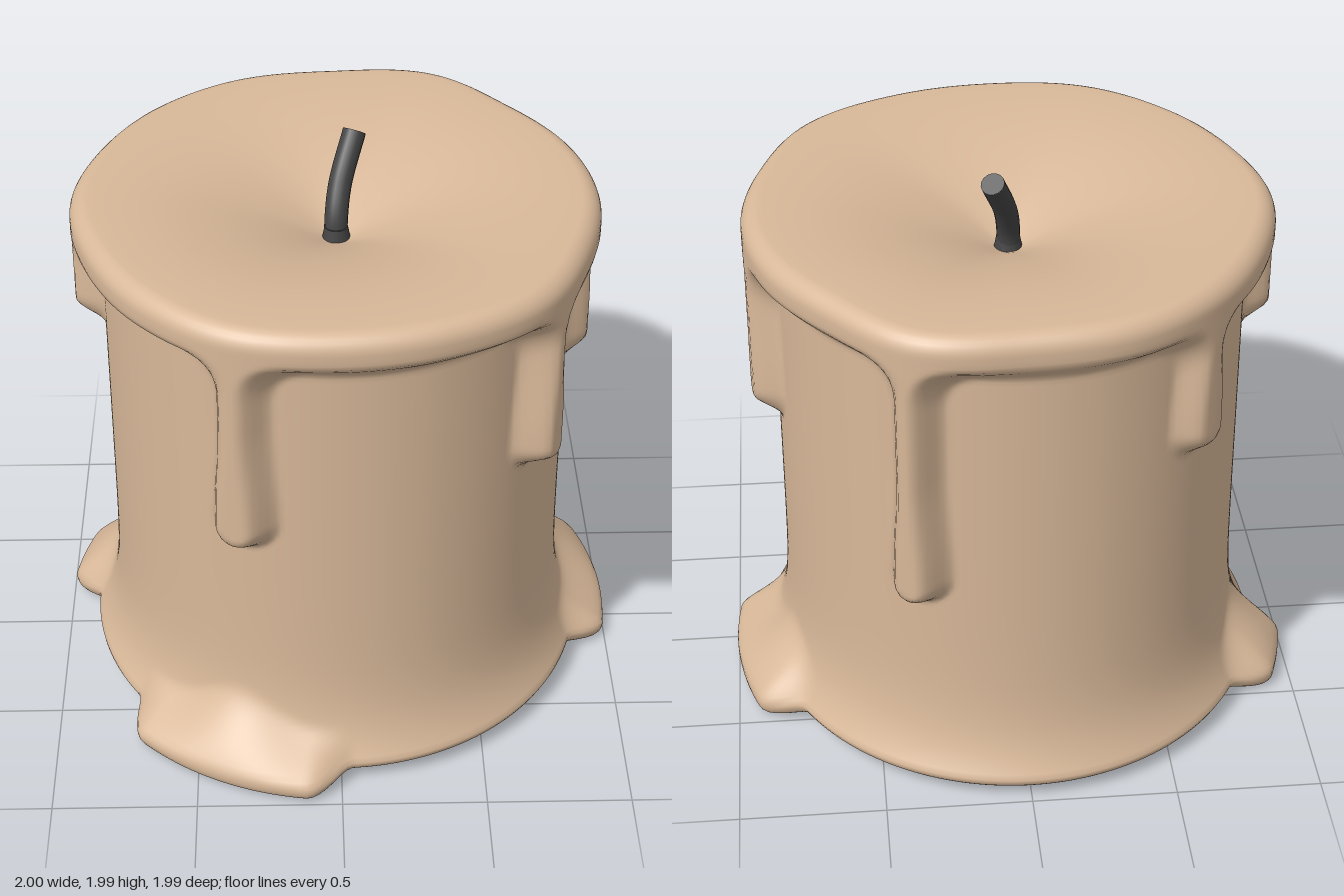
import * as THREE from 'three';

const CZ = -0.05;             // candle axis sits slightly behind the origin
const SEG = 320, TEETH = 32;
const rad = THREE.MathUtils.degToRad;
const step = THREE.MathUtils.smoothstep;
const lerp = THREE.MathUtils.lerp;

// signed angle between two directions, 0 = front (+z), 90 = +x
const turn = (a, b) => Math.atan2(Math.sin(a - b), Math.cos(a - b));

// wavy rim radius every 22.5 degrees
const RIM = [0.93, 0.93, 0.94, 0.90, 0.895, 0.895, 0.90, 0.96, 0.915, 0.92, 0.905, 0.89, 0.90, 0.895, 0.92, 0.95];
function rimRadius(a) {
  const n = RIM.length, f = ((a / (2 * Math.PI)) * n + n) % n, i = Math.floor(f), t = f - i;
  const [p, q, r, s] = [-1, 0, 1, 2].map(k => RIM[(i + k + n) % n]);
  return q + 0.5 * t * (r - p + t * (2 * p - 5 * q + 4 * r - s + t * (3 * (q - r) + s - p)));
}
const bodyRadius = a => 1 / Math.hypot(Math.sin(a) / 0.8, Math.cos(a) / 0.85);

// drips: angle, lowest y, half width
const DRIPS = [[-22, 0.96, 0.1], [51, 1.1, 0.09], [97, 1.13, 0.1], [155, 0.78, 0.09], [222, 1.22, 0.1], [269, 1.36, 0.1]];

// puddles: start angle, end angle, angle of the peak, peak height
const PUDDLES = [[-51, 1, -24, 0.3], [73, 121, 107, 0.29], [-121, -92, -106, 0.31]];

function smoothMin(a, b, k) {
  const h = Math.max(k - Math.abs(a - b), 0) / k;
  return Math.min(a, b) - h * h * k * 0.25;
}

// how much of the overflow layer covers the wall here, 0..1
function overflow(a, y) {
  let d = 1.68 - y;
  for (const [deg, low, w] of DRIPS) {
    const x = turn(a, rad(deg)) * 0.85;
    if (Math.abs(x) > 0.5) continue;
    const grow = step(y, low + 0.1, low + 0.5);
    const r = lerp(w, w * 0.78, grow);
    const dy = Math.max(low + w - y, 0);
    d = smoothMin(d, Math.hypot(x, dy) - r, 0.14);
  }
  return 1 - step(d, -0.06, 0.03);
}

// angular weight and height of the melted puddles
function puddle(a) {
  let weight = 0, height = 0.2;
  for (const [from, to, peak, top] of PUDDLES) {
    const mid = rad((from + to) / 2), half = rad((to - from) / 2);
    const w = 1 - step(Math.abs(turn(a, mid)), half - 0.14, half + 0.03);
    if (w <= weight) continue;
    weight = w;
    height = 0.19 + (top - 0.19) * Math.exp(-Math.pow(turn(a, rad(peak)) / 0.2, 2));
  }
  return { weight, height };
}

function wallRadius(a, y, p) {
  const body = bodyRadius(a);
  const flare = Math.min(0.1, 0.15 * Math.exp(-Math.pow(y / 0.16, 1.3)));
  const melt = 0.105 * p.weight * (1 - step(y / p.height, 0.3, 1.1));
  return body + flare + melt + (rimRadius(a) - body) * overflow(a, y);
}

// radius and height of one column of points, from the hollow underside to the dished top
function column(i) {
  const a = (i / SEG) * Math.PI * 2, p = puddle(a);
  const bottom = 0.05 - 0.04 * p.weight, c = 0.045, top = 1.78, k = 0.065;
  const pts = [];
  // ragged inner edge and underside
  const saw = Math.abs(((i * TEETH / SEG) % 1) * 2 - 1);
  const inner = 0.75 + 0.045 * saw;
  const foot = wallRadius(a, bottom + c, p);
  for (let j = 0; j < 4; j++) pts.push([lerp(inner, foot - c, j / 4), lerp(0.055, bottom, j / 4)]);
  // rounded foot
  for (let j = 0; j < 5; j++) {
    const t = (j / 5) * Math.PI / 2;
    pts.push([foot - c + c * Math.sin(t), bottom + c - c * Math.cos(t)]);
  }
  // wall with drips
  for (let j = 0; j < 100; j++) {
    const y = lerp(bottom + c, top, j / 100);
    pts.push([wallRadius(a, y, p), y]);
  }
  // rounded rim
  const R = wallRadius(a, top, p);
  for (let j = 0; j < 7; j++) {
    const t = (j / 7) * Math.PI / 2;
    pts.push([R - k + k * Math.cos(t), top + k * Math.sin(t)]);
  }
  // dished top
  for (let j = 0; j <= 20; j++) {
    const s = 1 - j / 20;
    pts.push([Math.max((R - k) * s, 0.0005), top + k - 0.21 * Math.pow(1 - s, 2.2)]);
  }
  return pts.map(([r, y]) => [r * Math.sin(a), y, CZ + r * Math.cos(a)]);
}

function waxGeometry() {
  const pos = [], idx = [];
  let rows = 0;
  for (let i = 0; i < SEG; i++) {
    const col = column(i);
    rows = col.length;
    pos.push(...col.flat());
  }
  for (let i = 0; i < SEG; i++) {
    const a = i * rows, b = ((i + 1) % SEG) * rows;
    for (let j = 0; j < rows - 1; j++) {
      idx.push(a + j, b + j, b + j + 1, a + j, b + j + 1, a + j + 1);
    }
  }
  const g = new THREE.BufferGeometry();
  g.setAttribute('position', new THREE.Float32BufferAttribute(pos, 3));
  g.setIndex(idx);
  g.computeVertexNormals();
  return g;
}

export function createModel() {
  const model = new THREE.Group();
  model.name = 'candle';

  // wax body with drips and puddles
  const wax = new THREE.Mesh(waxGeometry(), new THREE.MeshStandardMaterial({ color: 0xd8b899, side: THREE.DoubleSide }));
  wax.name = 'waxBody';
  model.add(wax);

  // bent wick
  const wickMaterial = new THREE.MeshStandardMaterial({ color: 0x444444 });
  const path = new THREE.CatmullRomCurve3([
    new THREE.Vector3(0, 1.6, CZ), new THREE.Vector3(0, 1.72, -0.06),
    new THREE.Vector3(0.015, 1.83, -0.115), new THREE.Vector3(0.065, 1.978, -0.21)
  ]);
  const wick = new THREE.Group();
  wick.name = 'wick';
  const stem = new THREE.Mesh(new THREE.TubeGeometry(path, 24, 0.04, 16), wickMaterial);
  stem.name = 'wickStem';
  const tip = new THREE.Mesh(new THREE.CircleGeometry(0.04, 16), wickMaterial);
  tip.name = 'wickTip';
  tip.position.copy(path.getPoint(1));
  tip.lookAt(path.getPoint(1).add(path.getTangent(1)));
  const collar = new THREE.Mesh(new THREE.CylinderGeometry(0.04, 0.055, 0.08, 16), wickMaterial);
  collar.name = 'wickCollar';
  collar.position.set(0, 1.66, CZ);
  wick.add(stem, tip, collar);
  model.add(wick);

  return model;
}
